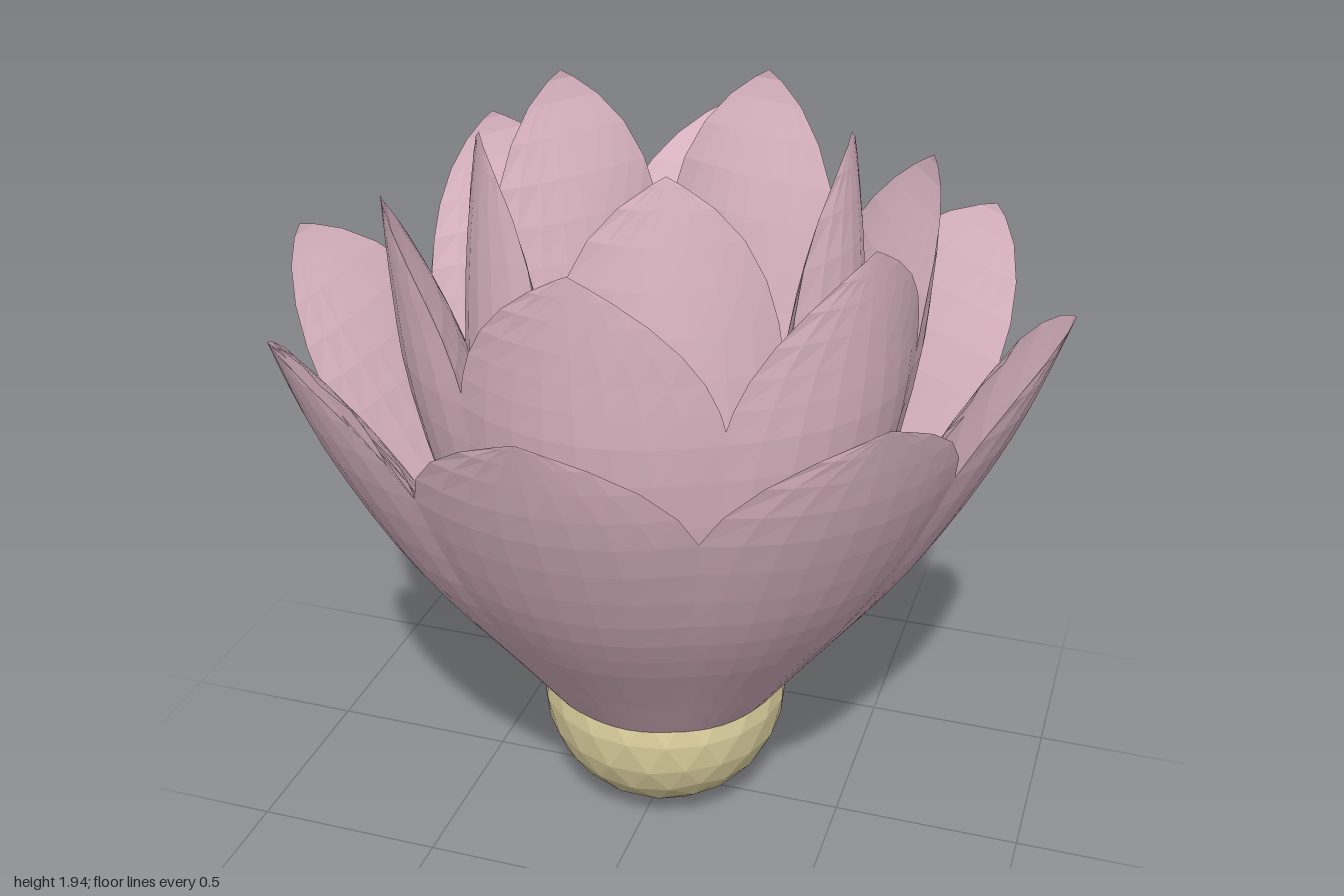
import * as THREE from 'three';

const ROWS = 15, ACROSS = 8;

// One solid petal facing +z: arched outer face, inner face swelling toward the centre.
// profile: [radius, height] pairs up the middle of the outer face.
// width, taper: half-width approached below the tip, and how slowly; maxWidth: limit relative to radius.
// tipCurl: extra curling of the side edges close to the tip.
function petalGeometry({ profile, width, taper, maxWidth, swell, tipCurl }) {
  const spine = new THREE.SplineCurve(profile.map(([r, y]) => new THREE.Vector2(r, y)));
  const tipY = profile[profile.length - 1][1];
  const baseY = profile[0][1];
  const ring = ACROSS * 2;
  const positions = [], index = [];

  for (let j = 0; j <= ROWS; j++) {
    const { x: r, y } = spine.getPoint(1 - Math.pow(j / ROWS, 1.4));
    const drop = Math.max(0, tipY - y);
    const s = drop / (tipY - baseY);
    const tipWidth = width * drop / (drop + taper);
    const w = Math.pow(Math.pow(tipWidth, -8) + Math.pow(maxWidth * r, -8), -1 / 8); // soft minimum
    const curl = (0.78 - 0.23 * s) * (1 + tipCurl / (drop + 0.03));
    const sag = curl * w * w / r;                      // how far the side edges curl back
    const depth = sag * (1 + swell * s);               // thickness at the middle
    for (let i = 0; i < ring; i++) {
      const outer = i <= ACROSS;
      const u = outer ? -1 + 2 * i / ACROSS : 3 - 2 * i / ACROSS;
      const inset = outer ? sag * u * u : depth + (sag - depth) * u * u;
      positions.push(u * w, y, r - inset);
    }
  }
  for (let j = 0; j < ROWS; j++) {
    for (let i = 0; i < ring; i++) {
      const n = (i + 1) % ring;
      const a = j * ring + i, b = a + ring, c = j * ring + n, d = c + ring;
      if (j > 0) index.push(a, b, c);
      index.push(c, b, d);
    }
  }
  const indexed = new THREE.BufferGeometry();
  indexed.setAttribute('position', new THREE.Float32BufferAttribute(positions, 3));
  indexed.setIndex(index);
  const geometry = indexed.toNonIndexed();             // faceted normals
  geometry.computeVertexNormals();
  return geometry;
}

export function createModel() {
  const flower = new THREE.Group();
  flower.name = 'flower';

  const petalPink = new THREE.MeshStandardMaterial({ color: 0xdeb8c5 });
  petalPink.name = 'petalPink';
  const paleYellow = new THREE.MeshStandardMaterial({ color: 0xded2a0 });
  paleYellow.name = 'paleYellow';

  // Faceted ball at the base, with a vertex at each pole
  const ball = new THREE.IcosahedronGeometry(0.335, 3);
  ball.rotateX(-Math.atan((1 + Math.sqrt(5)) / 2));
  ball.computeVertexNormals();
  const core = new THREE.Mesh(ball, paleYellow);
  core.name = 'core';
  core.position.y = 0.335;
  flower.add(core);

  // Three rings of petals
  const rings = [
    { name: 'outerPetal', count: 8, start: 0, width: 0.565, taper: 0.175, maxWidth: 0.415, swell: 1.2, tipCurl: 0.05,
      profile: [[0.315, 0.365], [0.47, 0.575], [0.625, 0.78], [0.76, 0.99], [0.905, 1.28], [1, 1.55]] },
    { name: 'middlePetal', count: 6, start: 0, width: 0.58, taper: 0.27, maxWidth: 0.54, swell: 1.4, tipCurl: 0.01,
      profile: [[0.29, 0.365], [0.43, 0.62], [0.56, 0.95], [0.645, 1.3], [0.67, 1.55], [0.68, 1.79]] },
    { name: 'innerPetal', count: 5, start: Math.PI / 2, width: 0.44, taper: 0.24, maxWidth: 0.62, swell: 1.7, tipCurl: 0.01,
      profile: [[0.26, 0.365], [0.37, 0.6], [0.46, 0.9], [0.5, 1.25], [0.49, 1.6], [0.45, 1.94]] },
  ];
  for (const ring of rings) {
    const geometry = petalGeometry(ring);
    for (let k = 0; k < ring.count; k++) {
      const petal = new THREE.Mesh(geometry, petalPink);
      petal.name = ring.name;
      petal.rotation.y = ring.start + k * 2 * Math.PI / ring.count;
      flower.add(petal);
    }
  }
  return flower;
}
